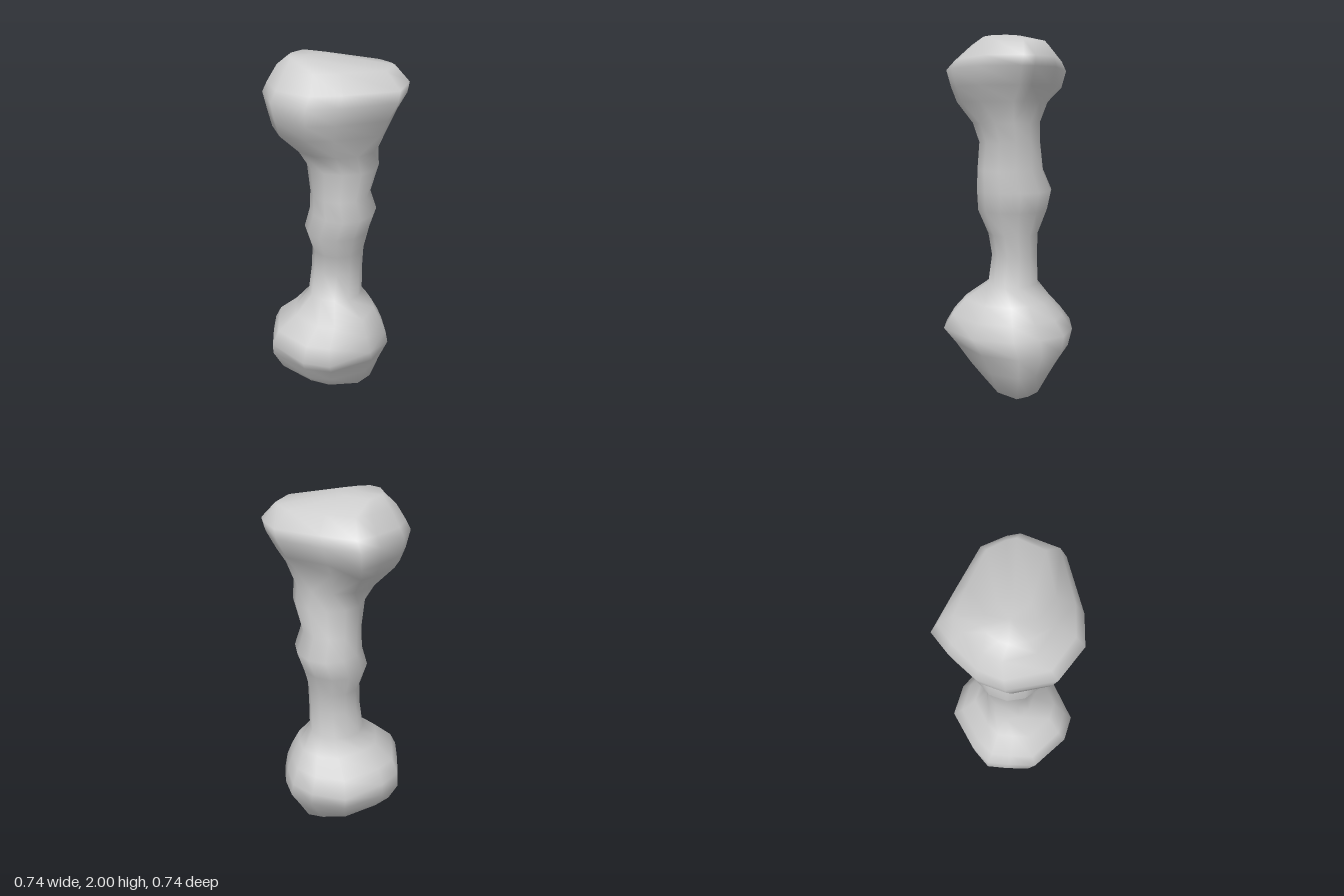
import * as THREE from 'three';
import { mergeVertices } from 'three/addons/utils/BufferGeometryUtils.js';

const SIDES = 12;

// Outlines seen from above, running left edge -> back -> right edge -> front
const lowerOutline = [[-.37, .02], [-.37, -.12], [-.28, -.23], [-.07, -.375], [.12, -.34], [.24, -.26],
  [.29, -.12], [.31, .03], [.21, .24], [-.02, .375], [-.17, .345], [-.36, .175]];
const upperOutline = [[-.365, 0], [-.33, -.13], [-.22, -.27], [-.13, -.355], [.05, -.29], [.28, -.195],
  [.35, -.07], [.37, 0], [.31, .21], [.03, .31], [-.13, .325], [-.3, .22]];
const roundOutline = Array.from({ length: SIDES }, (_, k) => {
  const a = (k / SIDES) * Math.PI * 2;
  return [-Math.cos(a), -Math.sin(a)];
});

// Stretch an outline to the given bounds
function fit(outline, x0, x1, z0, z1) {
  const xs = outline.map(p => p[0]), zs = outline.map(p => p[1]);
  const ax = Math.min(...xs), bx = Math.max(...xs), az = Math.min(...zs), bz = Math.max(...zs);
  return outline.map(([x, z]) => [
    THREE.MathUtils.mapLinear(x, ax, bx, x0, x1),
    THREE.MathUtils.mapLinear(z, az, bz, z0, z1),
  ]);
}

// Skin a stack of rings: [y, xMin, xMax, zMin, zMax, slope in x]
function loft(rings) {
  const pos = [], index = [];
  rings.forEach(([y, x0, x1, z0, z1, slope = 0], i) => {
    const outline = y < 0.6 ? lowerOutline : y > 1.6 ? upperOutline : roundOutline;
    for (const [x, z] of fit(outline, x0, x1, z0, z1)) pos.push(x, y + slope * x, z);
    if (i === 0) return;
    for (let k = 0; k < SIDES; k++) {
      const n = (k + 1) % SIDES, lo = (i - 1) * SIDES, hi = i * SIDES;
      if (i > 1) index.push(lo + k, hi + n, lo + n);
      if (i < rings.length - 1) index.push(lo + k, hi + k, hi + n);
      else index.push(lo + k, hi + k, lo + n);
      if (i === rings.length - 1) index.splice(index.length - 6, 3);
    }
  });
  const geo = new THREE.BufferGeometry();
  geo.setAttribute('position', new THREE.Float32BufferAttribute(pos, 3));
  geo.setIndex(index);
  const merged = mergeVertices(geo, 1e-5);
  merged.computeVertexNormals();
  return merged;
}

export function createModel() {
  const group = new THREE.Group();
  const material = new THREE.MeshStandardMaterial({ color: 0xcccccc });

  const body = new THREE.Mesh(loft([
    // lower knob
    [0, .015, .015, .015, .015],
    [.09, -.29, .21, -.18, .15, -.19],
    [.19, -.32, .26, -.26, .22],
    [.31, -.37, .31, -.34, .3],
    [.4, -.365, .295, -.37, .37],
    [.48, -.33, .265, -.31, .32],
    [.57, -.23, .22, -.23, .25],
    // shaft
    [.66, -.155, .15, -.16, .12],
    [.82, -.135, .15, -.155, .1],
    [.94, -.13, .155, -.155, .12],
    [1.07, -.17, .185, -.21, .175],
    [1.18, -.14, .22, -.225, .185],
    [1.29, -.135, .185, -.18, .18],
    [1.44, -.15, .225, -.16, .17],
    [1.54, -.21, .22, -.165, .2],
    // upper knob
    [1.65, -.32, .265, -.24, .27],
    [1.73, -.345, .305, -.32, .3],
    [1.82, -.365, .355, -.345, .325],
    [1.87, -.34, .365, -.315, .28],
    [1.95, -.29, .29, -.24, .19],
    [2, -.23, -.02, -.12, .12],
    [2, -.12, -.12, 0, 0],
  ]), material);
  body.name = 'knobbedShaft';
  group.add(body);
  return group;
}
